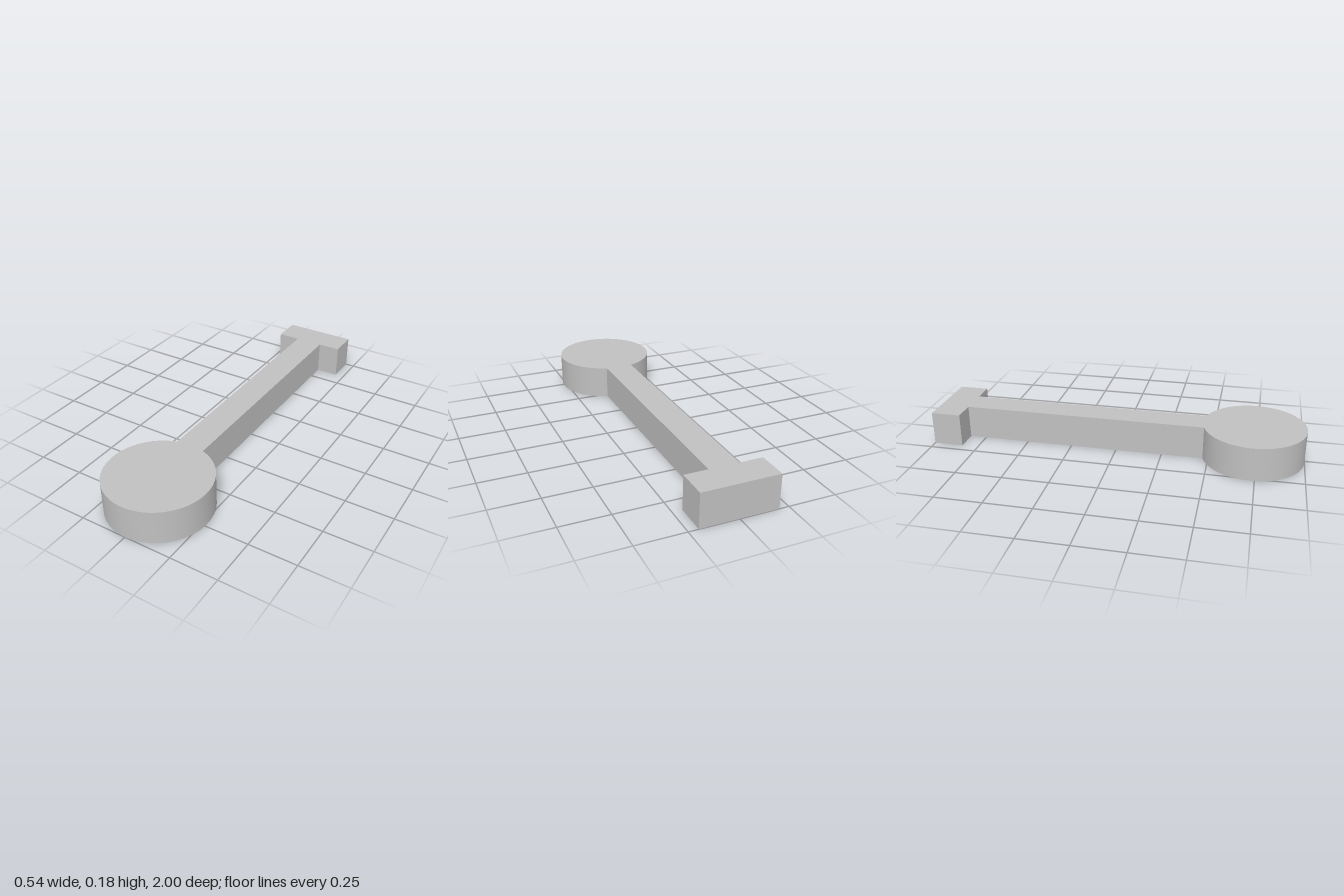
import * as THREE from 'three';
import { toCreasedNormals } from 'three/addons/utils/BufferGeometryUtils.js';

const HEIGHT = 0.18;
const DISC = { z: 0.73, r: 0.27 };
const STEM_HALF = 0.077;
const HEAD = { half: 0.2, back: -1, front: -0.84 };

export function createModel() {
  const grey = new THREE.MeshStandardMaterial({ color: 0xc0c0c0 });
  grey.name = 'plain grey';

  // Outline seen from above: crossbar, stem and round end (shape y is -z)
  const gap = Math.asin(STEM_HALF / DISC.r);
  const outline = new THREE.Shape();
  outline.moveTo(-HEAD.half, -HEAD.back);
  outline.lineTo(-HEAD.half, -HEAD.front);
  outline.lineTo(-STEM_HALF, -HEAD.front);
  outline.absarc(0, -DISC.z, DISC.r, Math.PI / 2 + gap, Math.PI * 2.5 - gap, false);
  outline.lineTo(STEM_HALF, -HEAD.front);
  outline.lineTo(HEAD.half, -HEAD.front);
  outline.lineTo(HEAD.half, -HEAD.back);
  outline.closePath();

  // Raise the outline to full height, with a smooth round wall and sharp edges
  const solid = new THREE.ExtrudeGeometry(outline, {
    depth: HEIGHT, bevelEnabled: false, curveSegments: 48,
  });
  solid.rotateX(-Math.PI / 2);

  const body = new THREE.Mesh(toCreasedNormals(solid, 0.5), grey);
  body.name = 'roundEndedBar';

  const model = new THREE.Group();
  model.name = 'model';
  model.add(body);
  return model;
}
